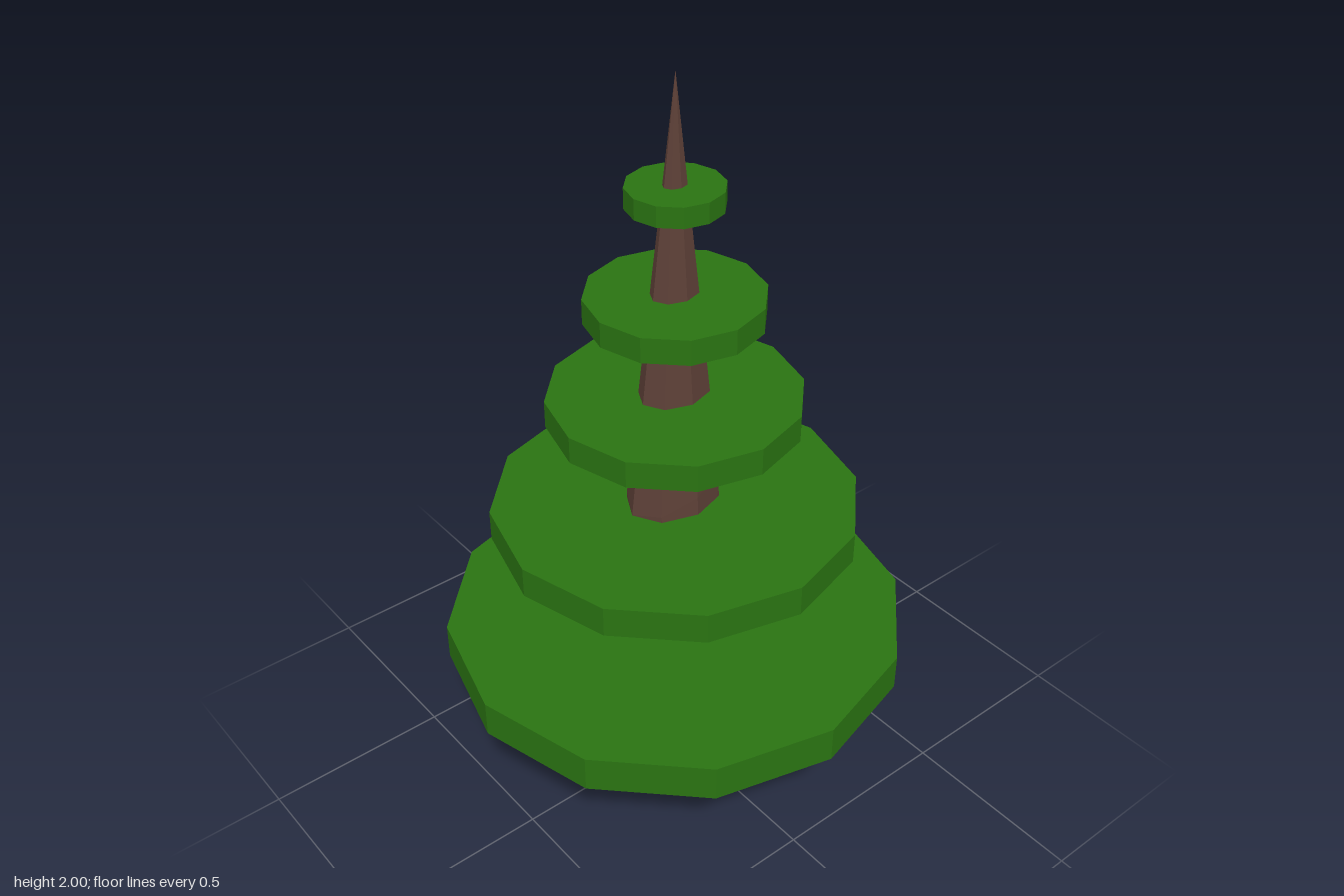
import * as THREE from 'three';

export function createModel() {
  const tree = new THREE.Group();
  tree.name = 'tree';
  const bark = new THREE.MeshStandardMaterial({ color: 0x5d4037, flatShading: true });
  const leaf = new THREE.MeshStandardMaterial({ color: 0x2a7312, flatShading: true });

  // Eight-sided trunk ending in a point, with a slightly tilted oval ring halfway up
  const trunkGeo = new THREE.CylinderGeometry(0, 0.14, 2, 8, 2);
  trunkGeo.translate(0, 1, 0);
  const p = trunkGeo.attributes.position;
  for (let i = 0; i < p.count; i++) {
    if (Math.abs(p.getY(i) - 1) > 0.01) continue;
    const x = (p.getX(i) / 0.07) * 0.13 - 0.01;
    const z = (p.getZ(i) / 0.07) * 0.1;
    p.setXYZ(i, x, 0.92 + 0.38 * x, z);
  }
  trunkGeo.computeVertexNormals();
  const trunk = new THREE.Mesh(trunkGeo, bark);
  trunk.name = 'trunk';
  tree.add(trunk);

  // Foliage discs, bottom to top: [radius, bottom, top]
  const tiers = [
    [0.612, 0.4, 0.5],
    [0.475, 0.782, 0.865],
    [0.322, 1.11, 1.182],
    [0.222, 1.39, 1.456],
    [0.119, 1.68, 1.732],
  ];
  tiers.forEach(([radius, bottom, top], i) => {
    const disc = new THREE.Mesh(new THREE.CylinderGeometry(radius, radius, top - bottom, 12), leaf);
    disc.position.y = (bottom + top) / 2;
    disc.name = `foliageTier${i + 1}`;
    tree.add(disc);
  });

  return tree;
}
